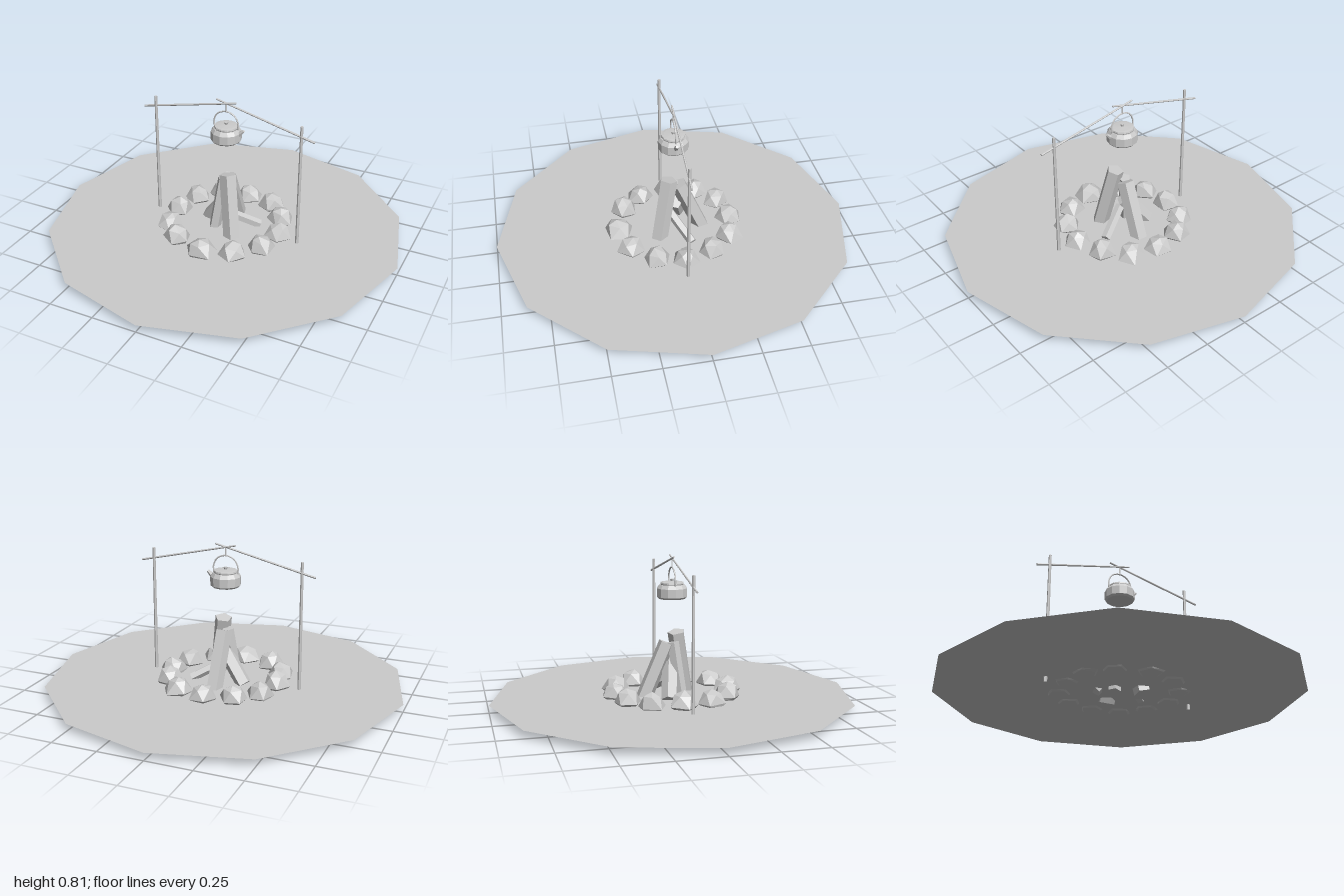
import * as THREE from 'three';
import { ConvexGeometry } from 'three/addons/geometries/ConvexGeometry.js';

const flat = new THREE.MeshStandardMaterial({ color: 0xcccccc, flatShading: true });
const flatDouble = new THREE.MeshStandardMaterial({ color: 0xcccccc, flatShading: true, side: THREE.DoubleSide });
const V = (x, y, z) => new THREE.Vector3(x, y, z);

function add(parent, name, geometry, material = flat) {
  const mesh = new THREE.Mesh(geometry, material);
  mesh.name = name;
  parent.add(mesh);
  return mesh;
}

// Straight prism from a to b, with its own radius at each end
function stick(parent, name, a, b, rA, rB, sides, spin = 0) {
  const geo = new THREE.CylinderGeometry(rB, rA, a.distanceTo(b), sides);
  geo.rotateY(spin);
  const mesh = add(parent, name, geo);
  mesh.position.copy(a).lerp(b, 0.5);
  mesh.quaternion.setFromUnitVectors(V(0, 1, 0), b.clone().sub(a).normalize());
  return mesh;
}

function seeded(seed) {
  return () => {
    seed = (seed * 16807) % 2147483647;
    return seed / 2147483647;
  };
}

// Faceted stone: uneven five-sided rings closed by an off-centre peak
function rockGeometry(radius, height, rand) {
  const points = [];
  const turn = rand() * Math.PI * 2;
  for (const [r, y, twist] of [[0.72, 0.0, 0], [1, 0.2, 0], [0.62, 0.78, 0.63]]) {
    for (let i = 0; i < 5; i++) {
      const a = turn + twist + (i / 5) * Math.PI * 2 + (rand() - 0.5) * 0.25;
      const k = radius * r * (0.92 + rand() * 0.16);
      points.push(V(Math.cos(a) * k, height * (y + (y > 0 ? (rand() - 0.5) * 0.14 : 0)), Math.sin(a) * k));
    }
  }
  points.push(V((rand() - 0.5) * radius * 0.4, height, (rand() - 0.5) * radius * 0.4));
  return new ConvexGeometry(points);
}

export function createModel() {
  const model = new THREE.Group();
  model.name = 'campfire';

  // Ground: flat twelve-sided sheet
  const groundGeo = new THREE.CircleGeometry(1, 12);
  groundGeo.rotateX(-Math.PI / 2);
  add(model, 'ground', groundGeo, flatDouble).position.y = 0.05;

  // Ring of stones: x, z, radius
  const stones = new THREE.Group();
  stones.name = 'stoneRing';
  model.add(stones);
  const rand = seeded(4711);
  [
    [0, -0.32, 0.076], [0.16, -0.285, 0.078], [0.265, -0.165, 0.077], [0.315, -0.01, 0.077],
    [0.28, 0.145, 0.077], [0.165, 0.27, 0.08], [0, 0.315, 0.087], [-0.175, 0.26, 0.079],
    [-0.28, 0.145, 0.08], [-0.305, -0.02, 0.078], [-0.27, -0.18, 0.077], [-0.16, -0.285, 0.076],
  ].forEach(([x, z, r]) => {
    add(stones, 'stone', rockGeometry(r, 0.09 + rand() * 0.015, rand)).position.set(x, 0.042, z);
  });

  // Logs leaning together: base, tip, radius, spin
  const logs = new THREE.Group();
  logs.name = 'logs';
  model.add(logs);
  [
    [V(0.085, 0.02, 0.1), V(0.025, 0.395, 0.03), 0.048, 0.3],
    [V(0.005, 0.035, -0.16), V(0.0, 0.34, -0.03), 0.047, 0.0],
    [V(-0.055, 0.025, 0.04), V(-0.015, 0.345, 0.0), 0.034, 0.9],
    [V(-0.13, 0.05, -0.05), V(0.0, 0.22, -0.01), 0.044, 0.5],
    [V(0.175, 0.055, -0.075), V(0.0, 0.15, 0.02), 0.026, 1.1],
  ].forEach(([a, b, r, spin]) => stick(logs, 'log', a, b, r, r, 5, spin));

  // Kettle frame: two uprights and two crossing arms
  const frame = new THREE.Group();
  frame.name = 'frame';
  model.add(frame);
  for (const s of [-1, 1]) {
    stick(frame, 'upright', V(s * 0.433, 0.02, s * 0.004), V(s * 0.432, 0.76, s * 0.004), 0.01, 0.008, 6);
    stick(frame, 'arm', V(s * 0.508, 0.685, s * 0.008), V(-s * 0.06, 0.816, -s * 0.004), 0.006, 0.005, 6);
  }

  // Kettle
  const kettle = new THREE.Group();
  kettle.name = 'kettle';
  model.add(kettle);
  const body = [[0, 0.585], [0.074, 0.585], [0.084, 0.595], [0.084, 0.642], [0.07, 0.662], [0, 0.662]];
  add(kettle, 'body', new THREE.LatheGeometry(body.map(([x, y]) => new THREE.Vector2(x, y)), 12));
  const lid = [[0.063, 0.66], [0.066, 0.667], [0.064, 0.675], [0.05, 0.677], [0, 0.68]];
  add(kettle, 'lid', new THREE.LatheGeometry(lid.map(([x, y]) => new THREE.Vector2(x, y)), 12));
  add(kettle, 'knob', new THREE.CylinderGeometry(0.011, 0.007, 0.014, 6)).position.y = 0.685;
  stick(kettle, 'spout', V(0.072, 0.632, 0), V(0.104, 0.662, 0), 0.015, 0.008, 6);

  // Bail handle: arch over the lid
  const bail = new THREE.CatmullRomCurve3([
    V(-0.068, 0.655, 0), V(-0.072, 0.69, 0), V(-0.052, 0.735, 0), V(0, 0.756, 0),
    V(0.052, 0.735, 0), V(0.072, 0.69, 0), V(0.068, 0.655, 0),
  ]);
  add(kettle, 'handle', new THREE.TubeGeometry(bail, 16, 0.0045, 5));

  // Hook hanging from the arms
  stick(kettle, 'hook', V(0, 0.75, 0), V(0, 0.805, 0), 0.004, 0.004, 5);

  return model;
}
